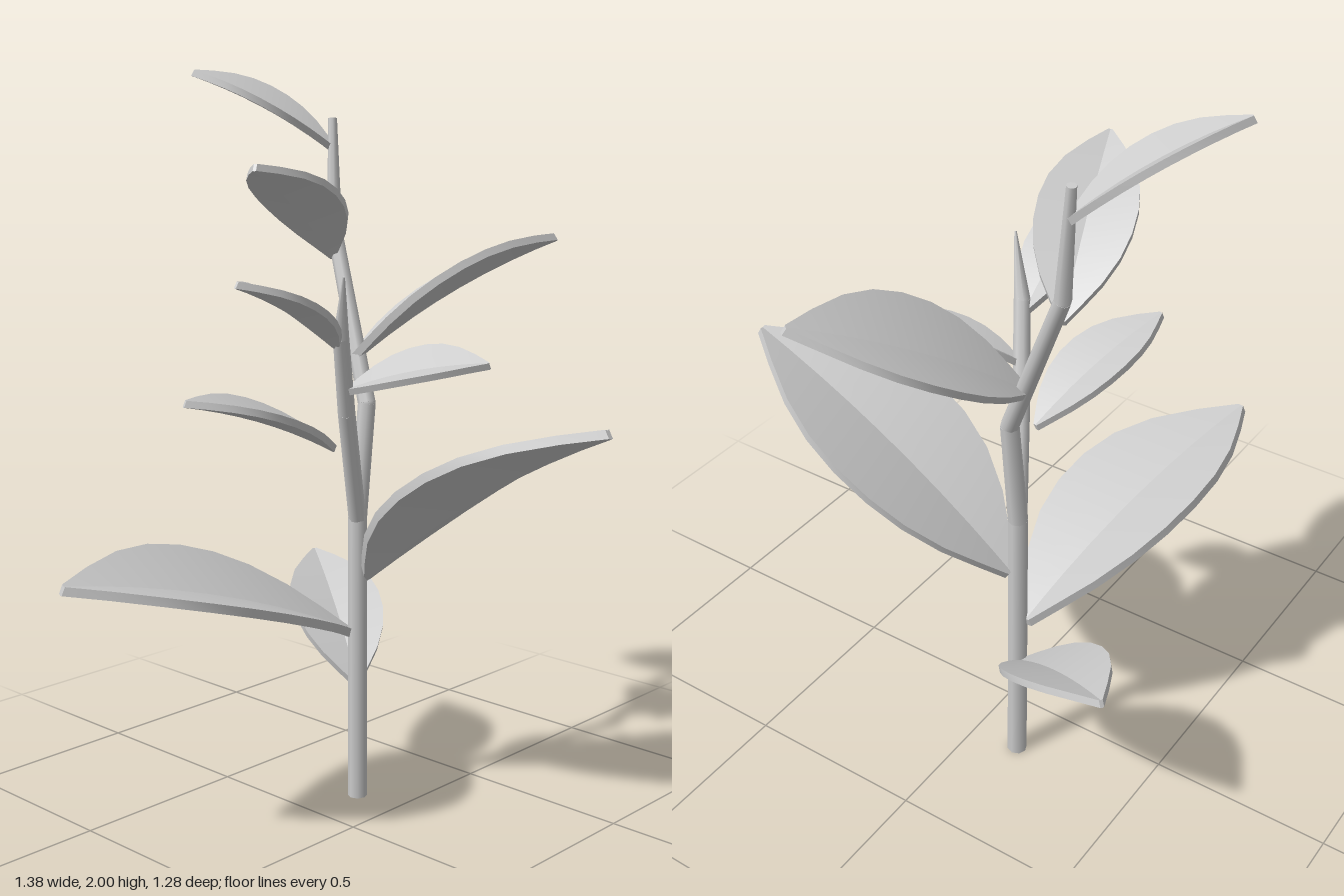
import * as THREE from 'three';
import { toCreasedNormals } from 'three/addons/utils/BufferGeometryUtils.js';

const V = (p) => new THREE.Vector3(...p);
const material = new THREE.MeshStandardMaterial({ color: 0xcccccc });

// Stalk of straight tapered lengths: each point is [x, y, z, radius]
function makeStalk(name, points) {
  const group = new THREE.Group();
  group.name = name;
  const sides = 8, yAxis = new THREE.Vector3(0, 1, 0);
  for (let i = 0; i < points.length - 1; i++) {
    const a = V(points[i]), b = V(points[i + 1]);
    const r0 = points[i][3], r1 = points[i + 1][3];
    const length = a.distanceTo(b);
    const part = new THREE.Mesh(new THREE.CylinderGeometry(r1, r0, length, sides), material);
    part.position.copy(a).lerp(b, 0.5);
    part.quaternion.setFromUnitVectors(yAxis, b.clone().sub(a).normalize());
    group.add(part);
    // round joint that fills the bend
    if (i > 0) {
      const joint = new THREE.Mesh(new THREE.SphereGeometry(r0 * 0.98, sides, 6), material);
      joint.position.copy(a);
      group.add(joint);
    }
  }
  return group;
}

// Outline of a leaf: [distance along the midrib, half width]
const OUTLINE = [
  [0, 0.06], [0.08, 0.32], [0.18, 0.62], [0.3, 0.86], [0.42, 0.98], [0.54, 1],
  [0.66, 0.92], [0.78, 0.71], [0.9, 0.37], [1, 0.04],
];

// Solid leaf from base to tip: folded along the midrib, arched and rolled
function makeLeaf(name, base, tip, roll, ratio = 0.45) {
  const start = V(base), dir = V(tip).sub(start);
  const length = dir.length();
  dir.normalize();
  const side = new THREE.Vector3(0, 1, 0).cross(dir).normalize();
  const up = dir.clone().cross(side);
  // a positive roll lifts the +side edge
  side.applyAxisAngle(dir, roll);
  up.applyAxisAngle(dir, roll);

  const thick = 0.012 + 0.014 * length, fold = 0.25, arch = 0.042;
  const positions = [], index = [];
  OUTLINE.forEach(([t, w]) => {
    const half = w * length * ratio / 2;
    const rise = arch * length * 4 * t * (1 - t);
    const section = [[-1, 1], [0, 1], [1, 1], [1, -1], [0, -1], [-1, -1]];
    section.forEach(([s, face]) => {
      const p = start.clone()
        .addScaledVector(dir, t * length)
        .addScaledVector(side, s * half)
        .addScaledVector(up, rise + Math.abs(s) * half * fold + face * thick / 2);
      positions.push(p.x, p.y, p.z);
    });
  });
  const n = 6, rows = OUTLINE.length;
  for (let i = 0; i < rows - 1; i++) {
    for (let k = 0; k < n; k++) {
      const a = i * n + k, b = i * n + (k + 1) % n;
      index.push(a, a + n, b, b, a + n, b + n);
    }
  }
  // end faces at the base and the tip
  const e = (rows - 1) * n;
  [[0, 1, 4], [0, 4, 5], [1, 2, 3], [1, 3, 4]].forEach(([a, b, c]) => {
    index.push(a, b, c, e + a, e + c, e + b);
  });
  const geo = new THREE.BufferGeometry();
  geo.setAttribute('position', new THREE.Float32BufferAttribute(positions, 3));
  geo.setIndex(index);
  const mesh = new THREE.Mesh(toCreasedNormals(geo, 0.4), material);
  mesh.name = name;
  return mesh;
}

export function createModel() {
  const plant = new THREE.Group();
  plant.name = 'plant';

  // Main stem and the side branch
  plant.add(makeStalk('stem', [
    [0.165, 0, -0.138, 0.027], [0.165, 0.81, -0.138, 0.026], [0.198, 1.12, -0.135, 0.024],
    [0.272, 1.57, -0.325, 0.021], [0.3, 1.87, -0.358, 0.012],
  ]));
  plant.add(makeStalk('sideBranch', [
    [0.165, 0.8, -0.138, 0.024], [0.05, 1.12, -0.07, 0.023],
    [-0.018, 1.33, -0.025, 0.021], [-0.055, 1.49, 0.02, 0.003],
  ]));

  // Leaves: name, base, tip, roll, width to length
  const leaves = [
    ['lowestBackLeaf', [0.17, 0.325, -0.145], [0.41, 0.59, -0.545], -0.02, 0.48],
    ['largeRightLeaf', [0.16, 0.475, -0.165], [-0.685, 0.745, -0.335], -0.18, 0.465],
    ['largeFrontLeaf', [0.185, 0.64, -0.125], [0.22, 1.135, 0.635], -0.12],
    ['leftLeaf', [0.205, 1.235, -0.19], [0.685, 1.55, 0.12], -0.24, 0.47],
    ['upperRightLeaf', [0.255, 1.5, -0.315], [-0.178, 1.755, -0.165], 0.05, 0.44],
    ['topLeaf', [0.3, 1.785, -0.355], [0.04, 1.99, -0.635], -0.2],
    ['lowerBranchLeaf', [0.05, 1.02, -0.115], [-0.367, 1.18, -0.23], -0.08, 0.43],
    ['frontBranchLeaf', [0.035, 1.18, -0.055], [0.178, 1.27, 0.3], 0.32, 0.5],
    ['upperBranchLeaf', [-0.01, 1.3, -0.04], [-0.367, 1.49, -0.035], -0.08, 0.43],
  ];
  leaves.forEach((leaf) => plant.add(makeLeaf(...leaf)));
  return plant;
}
